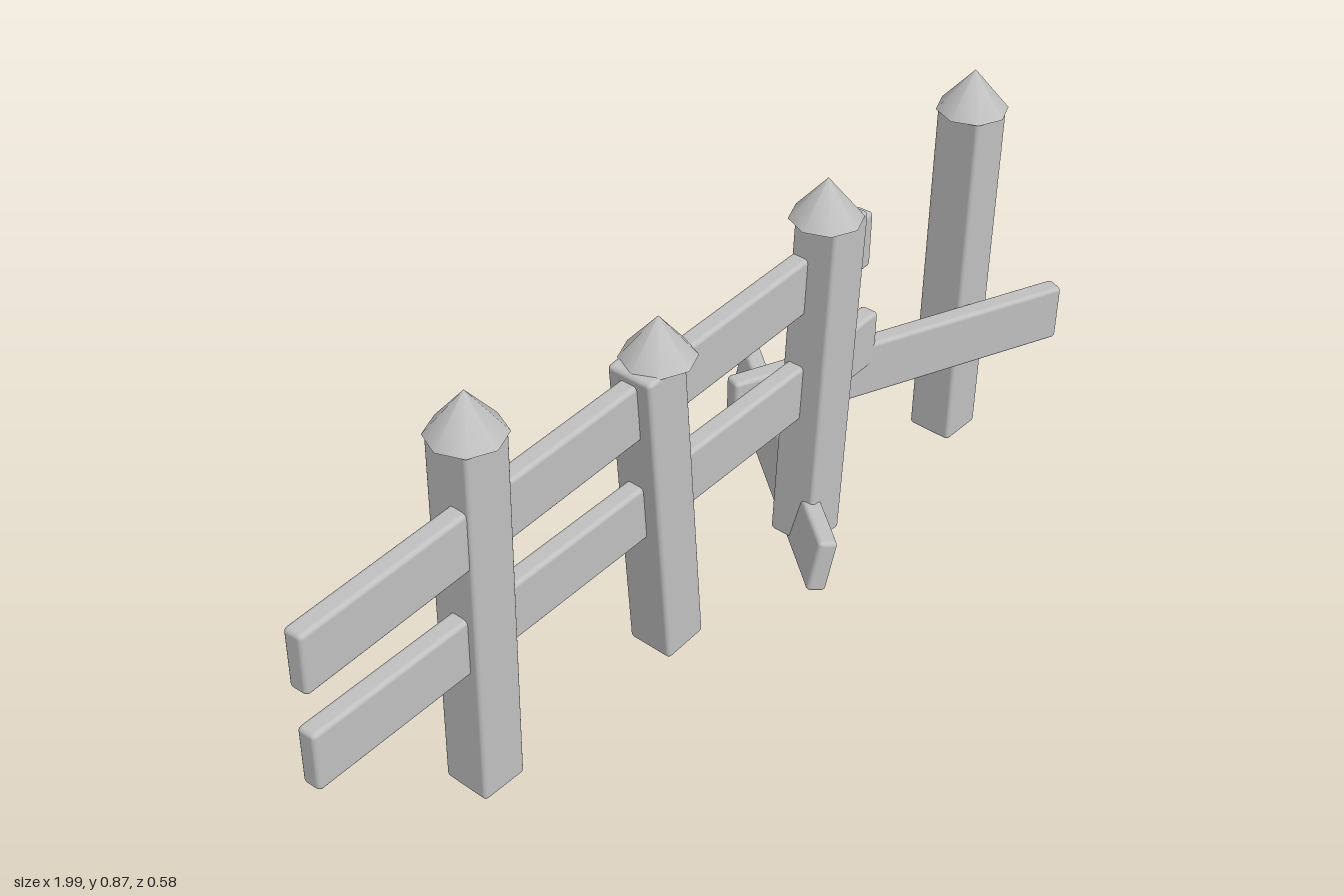
import * as THREE from 'three';
import { RoundedBoxGeometry } from 'three/addons/geometries/RoundedBoxGeometry.js';

const BEVEL = 0.009;
const deg = THREE.MathUtils.degToRad;

export function createModel() {
  const fence = new THREE.Group();
  fence.name = 'brokenFence';
  const grey = new THREE.MeshStandardMaterial({ color: 0xc0c0c0 });
  grey.name = 'weatheredGrey';

  // A softly bevelled beam, yawed about y, then rolled or leaned
  function beam(name, size, position, { yaw = 0, roll = 0, lean = 0 } = {}) {
    const mesh = new THREE.Mesh(new RoundedBoxGeometry(...size, 2, BEVEL), grey);
    mesh.name = name;
    mesh.position.set(...position);
    mesh.rotation.set(deg(roll), deg(yaw), deg(lean), 'YXZ');
    fence.add(mesh);
  }

  // Posts: x, top height, sideways lean; the pointed caps stay upright
  const capGeometry = new THREE.ConeGeometry(0.072, 0.085, 8);
  const postZ = 0.13, postBase = 0.015;
  [
    [-0.575, 0.79, 0],
    [-0.108, 0.692, 5],
    [0.366, 0.755, -2.5],
    [0.83, 0.79, 0],
  ].forEach(([x, top, lean], i) => {
    beam(`post${i + 1}`, [0.1, top - postBase, 0.1], [x, (top + postBase) / 2, postZ], { lean });
    const cap = new THREE.Mesh(capGeometry, grey);
    cap.name = `postCap${i + 1}`;
    cap.position.set(x, top - 0.005 + 0.0425, postZ);
    fence.add(cap);
  });

  // Rails running through the posts
  beam('upperRail', [1.55, 0.124, 0.04], [-0.225, 0.607, 0.131], { yaw: 3.1 });
  beam('lowerRail', [1.55, 0.124, 0.04], [-0.205, 0.37, 0.127], { yaw: 1.8 });

  // Rail knocked askew, and a plank fallen to the ground
  beam('brokenRail', [0.77, 0.125, 0.04], [0.632, 0.296, 0.132], { yaw: -22 });
  beam('fallenPlank', [0.69, 0.122, 0.04], [0.438, 0.065, -0.002], { yaw: 52, roll: 10 });

  return fence;
}
